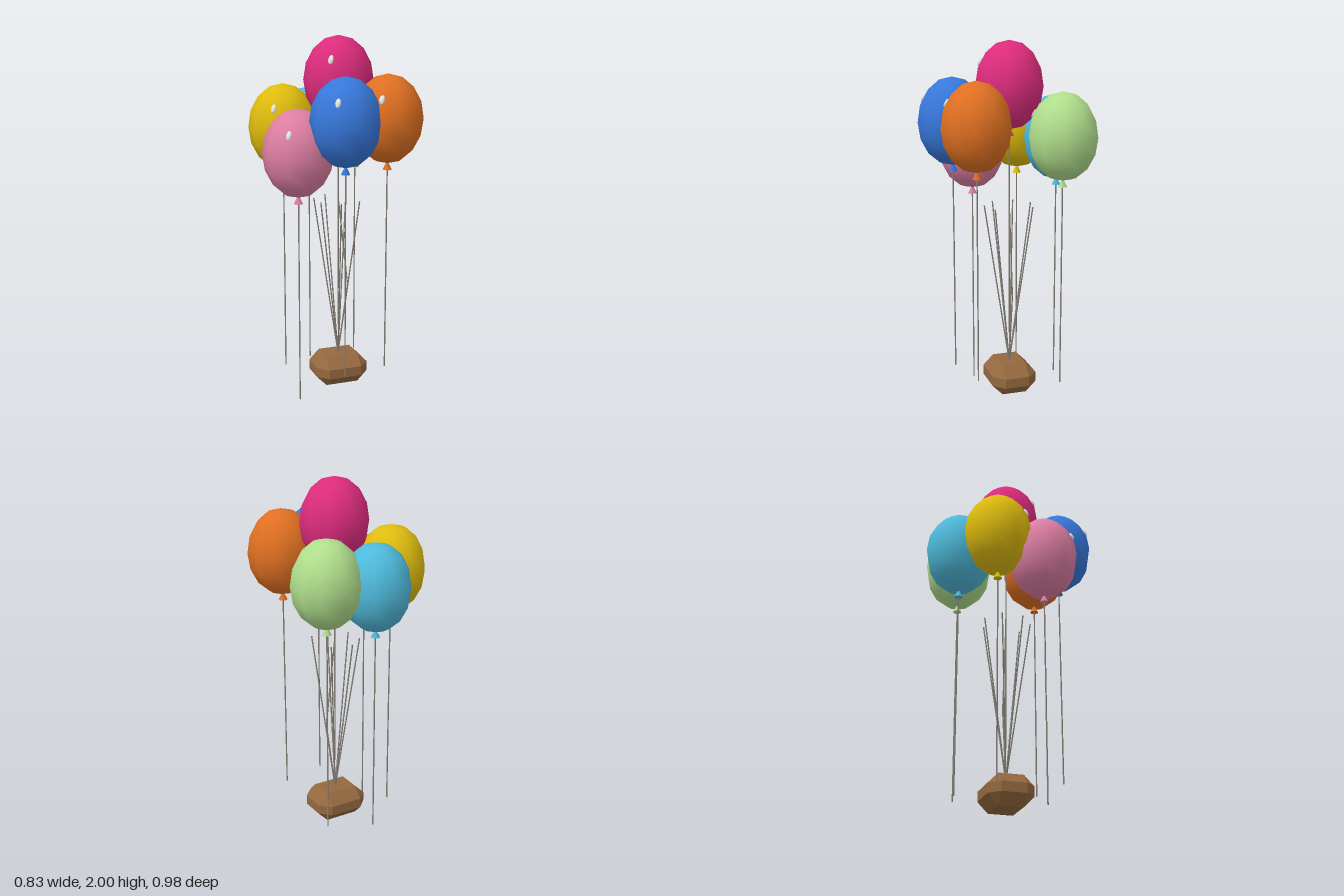
import * as THREE from 'three';
import { ConvexGeometry } from 'three/addons/geometries/ConvexGeometry.js';

function material(name, color, flatShading = false) {
  const m = new THREE.MeshStandardMaterial({ color, flatShading });
  m.name = name;
  return m;
}

function addMesh(parent, name, geometry, mat, x = 0, y = 0, z = 0) {
  const mesh = new THREE.Mesh(geometry, mat);
  mesh.name = name;
  mesh.position.set(x, y, z);
  parent.add(mesh);
  return mesh;
}

// Thin cylinder between two points
function addRod(parent, name, a, b, radius, mat) {
  const dir = b.clone().sub(a);
  const rod = addMesh(parent, name, new THREE.CylinderGeometry(radius, radius, dir.length(), 5), mat);
  rod.position.copy(a).add(b).multiplyScalar(0.5);
  rod.quaternion.setFromUnitVectors(new THREE.Vector3(0, 1, 0), dir.normalize());
}

// Box with every edge chamfered by c
function chamferedBox(hx, hy, hz, c) {
  const points = [];
  for (const x of [-1, 1]) for (const y of [-1, 1]) for (const z of [-1, 1]) {
    points.push(
      new THREE.Vector3(x * hx, y * (hy - c), z * (hz - c)),
      new THREE.Vector3(x * (hx - c), y * hy, z * (hz - c)),
      new THREE.Vector3(x * (hx - c), y * (hy - c), z * hz));
  }
  return new ConvexGeometry(points);
}

export function createModel() {
  const group = new THREE.Group();
  group.name = 'balloonBunch';
  const white = material('highlight white', 0xffffff);
  const brown = material('weight brown', 0x94683f, true);
  const stringMat = material('string grey', 0x89847a);

  const R = 0.19, H = 0.2375, CX = 0.04;
  const tie = new THREE.Vector3(CX, 0.19, 0);

  // x, z, top height, colour
  const balloons = [
    ['magenta', 0.04, 0, 2.0, 0xdd2c7d],
    ['blue', -0.03, 0.298, 1.81, 0x3778dc],
    ['orange', 0.23, 0.238, 1.81, 0xe07022],
    ['lightGreen', 0.23, -0.238, 1.74, 0xb0de8c],
    ['cyan', -0.03, -0.298, 1.7, 0x4fbadb],
    ['yellow', -0.235, -0.133, 1.74, 0xdfbc0e],
    ['pink', -0.235, 0.133, 1.635, 0xde7fa3],
  ];

  const body = new THREE.SphereGeometry(R, 10, 8);
  body.rotateY(Math.PI / 2);
  body.scale(1, H / R, 1);
  const knot = new THREE.ConeGeometry(0.025, 0.05, 6);
  const shine = new THREE.SphereGeometry(1, 6, 4);
  shine.scale(0.015, 0.027, 0.01);

  for (const [name, x, z, top, color] of balloons) {
    const b = new THREE.Group();
    b.name = name + 'Balloon';
    b.position.set(x, top - H, z);
    group.add(b);
    const mat = material('balloon ' + name, color);
    addMesh(b, 'balloonBody', body, mat);
    addMesh(b, 'knot', knot, mat, 0, -H - 0.01, 0);
    const spot = addMesh(b, 'highlight', shine, white, -0.092, 0.118, 0.135);
    spot.rotation.set(-0.5, -0.4, -0.35);

    // Hanging string
    addRod(b, 'hangingString', new THREE.Vector3(0, -H - 0.02, 0),
      new THREE.Vector3(0, H - 1.635, 0), 0.004, stringMat);

    // String fanning out from the weight toward this balloon
    const end = new THREE.Vector3(CX + (x - CX) * 0.45, 1.105, z * 0.45);
    if (name === 'magenta') {
      const bend = new THREE.Vector3(0.097, 0.6, 0);
      addRod(group, 'tieStringLower', tie, bend, 0.004, stringMat);
      addRod(group, 'tieStringUpper', bend, end, 0.004, stringMat);
    } else {
      addRod(group, 'tieString', tie, end, 0.004, stringMat);
    }
  }

  // Weight
  addMesh(group, 'weight', chamferedBox(0.152, 0.085, 0.127, 0.058), brown, CX, 0.115, 0);
  return group;
}
